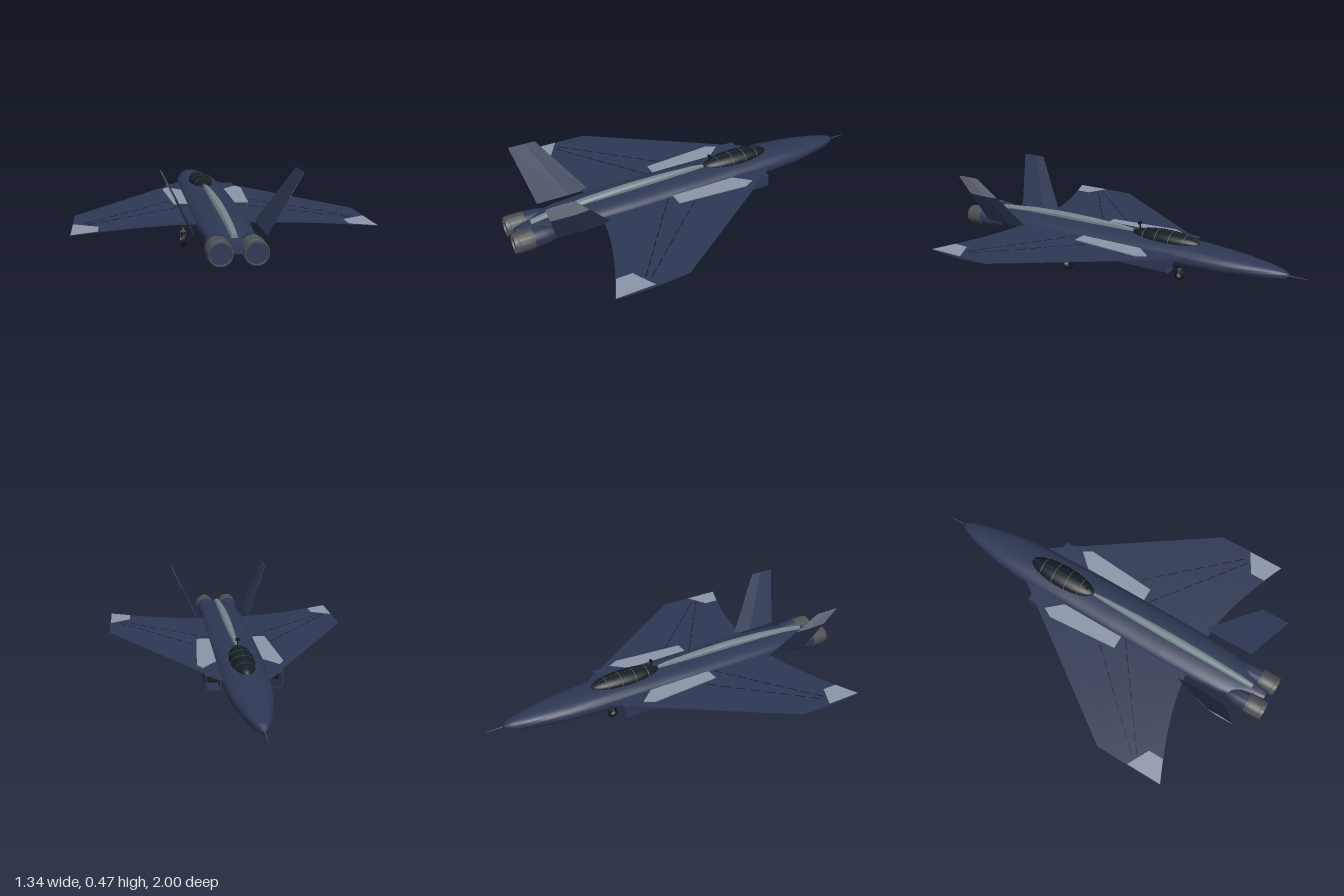
import * as THREE from 'three';
import { toCreasedNormals } from 'three/addons/utils/BufferGeometryUtils.js';

const mat = (color) => new THREE.MeshStandardMaterial({ color });
const NAVY = mat(0x2e3854), PANEL = mat(0x8c96a8), SPINE = mat(0x74858c), GLASS = mat(0x131d22);
const METAL = mat(0x4c5052), BLACK = mat(0x14171c), STEEL = mat(0x9a9fa5);

// Skin closed sections (equal point counts), cap both ends, face outwards
function loft(sections, crease = 0.6) {
  const n = sections[0].length, pos = sections.flat(2), idx = [];
  for (let i = 0; i < sections.length - 1; i++)
    for (let j = 0; j < n; j++) {
      const a = i * n + j, b = i * n + (j + 1) % n;
      idx.push(a, b, a + n, b, b + n, a + n);
    }
  const last = (sections.length - 1) * n;
  for (let j = 1; j < n - 1; j++) idx.push(0, j + 1, j, last, last + j, last + j + 1);
  const p = (i) => new THREE.Vector3(...pos.slice(i * 3, i * 3 + 3)).sub(p0);
  const p0 = new THREE.Vector3(pos[0], pos[1], pos[2]);
  let volume = 0;
  for (let i = 0; i < idx.length; i += 3) volume += p(idx[i]).dot(p(idx[i + 1]).cross(p(idx[i + 2])));
  if (volume < 0) idx.reverse();
  const g = new THREE.BufferGeometry();
  g.setAttribute('position', new THREE.Float32BufferAttribute(pos, 3));
  g.setIndex(idx);
  return toCreasedNormals(g, crease);
}

// Lathe turned to run along z; profile points are [radius, z]
function latheZ(profile, segments = 32) {
  const pts = profile.map(([r, z]) => new THREE.Vector2(r, z));
  return toCreasedNormals(new THREE.LatheGeometry(pts, segments).rotateX(Math.PI / 2), 0.6);
}

// Wing outline and thickness
const ROOT = 0.08, TIP = 0.67, TOP = 0.197;
const lead = (x) => 0.37 - (TIP - x) * 1.42;
const trail = (x) => 0.57 + 0.16 * Math.pow(Math.max(0, (x - 0.13) / 0.54), 1.5);

function wingGeometry(s) {
  const sections = [], chord = 14;
  for (let i = 0; i <= 12; i++) {
    const u = i / 12, x = ROOT + (TIP - ROOT) * u, t = 0.065 - 0.053 * u;
    const at = (v, y) => [s * x, y, lead(x) + (trail(x) - lead(x)) * v];
    const ring = [];
    for (let j = 0; j <= chord; j++) ring.push(at(j / chord, TOP));
    for (let j = chord; j >= 0; j--)
      ring.push(at(j / chord, TOP - t * (0.15 + 0.85 * Math.pow(Math.sin(Math.PI * j / chord), 0.8))));
    sections.push(ring);
  }
  return loft(sections);
}

// Thin plate on the wing, outlined by [x, z] corners
const plate = (s, pts, y0, y1) => loft([y0, y1].map((y) => pts.map(([x, z]) => [s * x, y, z])), 0.1);
// Narrow seam between two [x, z] points, split into dashes
function seam(s, a, b, dashes) {
  const out = [];
  for (let i = 0; i < dashes; i++) {
    const pt = (k) => [a[0] + (b[0] - a[0]) * k, a[1] + (b[1] - a[1]) * k];
    const p = pt(i / dashes), q = pt((i + 0.7) / dashes), w = 0.003;
    out.push(plate(s, [[p[0], p[1] - w], [q[0], q[1] - w], [q[0], q[1] + w], [p[0], p[1] + w]], TOP - 0.001, TOP + 0.001));
  }
  return out;
}

export function createModel() {
  const model = new THREE.Group();
  const add = (name, geometry, material, x = 0, y = 0, z = 0, parent = model) => {
    const m = new THREE.Mesh(geometry, material);
    m.name = name;
    m.position.set(x, y, z);
    parent.add(m);
    return m;
  };

  // Fuselage: z, half width, bottom, top
  const body = [[-0.915, 0.004, 0.167, 0.176], [-0.9, 0.018, 0.156, 0.188], [-0.87, 0.034, 0.148, 0.197],
    [-0.8, 0.057, 0.14, 0.208], [-0.7, 0.08, 0.133, 0.218], [-0.6, 0.099, 0.128, 0.226], [-0.45, 0.113, 0.124, 0.235],
    [-0.2, 0.12, 0.12, 0.237], [0.1, 0.125, 0.12, 0.237], [0.4, 0.126, 0.121, 0.236], [0.6, 0.121, 0.13, 0.234],
    [0.75, 0.11, 0.143, 0.226], [0.82, 0.098, 0.15, 0.217], [0.9, 0.05, 0.155, 0.205], [0.97, 0.025, 0.16, 0.195]];
  const power = (v, e) => Math.sign(v) * Math.pow(Math.abs(v), e);
  add('fuselage', loft(body.map(([z, w, b, t]) => Array.from({ length: 36 }, (_, i) => {
    const a = i / 36 * Math.PI * 2;
    return [w * power(Math.cos(a), 0.85), (b + t) / 2 + (t - b) / 2 * power(Math.sin(a), 0.85), z];
  })), 1), NAVY);
  add('noseProbe', new THREE.CylinderGeometry(0.003, 0.0012, 0.1, 10).rotateX(Math.PI / 2), METAL, 0, 0.172, -0.95);

  // Spine ridge: z, half width, top
  const ridge = [[-0.06, 0.008, 0.25], [0, 0.012, 0.258], [0.2, 0.019, 0.264], [0.4, 0.022, 0.264],
    [0.6, 0.021, 0.256], [0.8, 0.018, 0.238], [0.89, 0.015, 0.222]];
  add('spine', loft(ridge.map(([z, w, t]) => [[w, 0.18, z], [w, t - 0.014, z], [w * 0.6, t - 0.003, z], [0, t, z],
    [-w * 0.6, t - 0.003, z], [-w, t - 0.014, z], [-w, 0.18, z]])), SPINE);

  // Canopy with frame hoops, in ellipsoid units
  const canopy = new THREE.Group();
  canopy.name = 'canopy';
  canopy.position.set(0, 0.234, -0.255);
  canopy.scale.set(0.062, 0.042, 0.193);
  model.add(canopy);
  add('canopyGlass', new THREE.SphereGeometry(1, 40, 24), GLASS, 0, 0, 0, canopy);
  for (const z of [-0.6, -0.2, 0.2, 0.6])
    add('canopyHoop', new THREE.TorusGeometry(Math.sqrt(1 - z * z), 0.014, 6, 32, Math.PI), METAL, 0, 0, z, canopy);
  add('canopyRail', new THREE.TorusGeometry(1, 0.014, 6, 48, Math.PI).rotateY(Math.PI / 2), METAL, 0, 0, 0, canopy);
  add('antennaMast', new THREE.CylinderGeometry(0.003, 0.004, 0.05, 8), BLACK, 0, 0.265, -0.1);
  add('antennaHead', new THREE.BoxGeometry(0.022, 0.012, 0.012), BLACK, 0, 0.288, -0.1);

  // Wheel on a strut; attach is the height where the strut meets the airframe
  function gear(name, x, z, r, y, attach) {
    const g = new THREE.Group();
    g.name = name;
    g.position.set(x, y, z);
    model.add(g);
    const w = r * 0.28;
    add('tyre', new THREE.LatheGeometry([[r * 0.5, -w], [r * 0.85, -w], [r, -w * 0.45], [r, w * 0.45], [r * 0.85, w], [r * 0.5, w]]
      .map((p) => new THREE.Vector2(...p)), 28).rotateZ(Math.PI / 2), BLACK, 0, 0, 0, g);
    add('hub', new THREE.CylinderGeometry(r * 0.52, r * 0.52, w * 1.8, 20).rotateZ(Math.PI / 2), METAL, 0, 0, 0, g);
    add('axle', new THREE.CylinderGeometry(r * 0.2, r * 0.2, w * 2.8, 12).rotateZ(Math.PI / 2), STEEL, 0, 0, 0, g);
    const h = attach - y - r;
    for (const s of [-1, 1]) add('fork', new THREE.BoxGeometry(0.003, r * 1.2, 0.007), METAL, s * w * 1.2, r * 0.55, 0, g);
    add('forkTop', new THREE.BoxGeometry(w * 2.8, 0.007, 0.014), METAL, 0, r * 1.15, 0, g);
    add('strut', new THREE.CylinderGeometry(0.006, 0.006, h, 12), METAL, 0, r + h / 2, 0, g);
    add('collar', new THREE.BoxGeometry(0.032, 0.012, 0.022), BLACK, 0, r + h * 0.42, 0, g);
    const brace = add('brace', new THREE.CylinderGeometry(0.0025, 0.0025, 0.06, 8), METAL, 0, r + h * 0.6, -0.018, g);
    brace.rotation.x = -1.1;
  }
  gear('noseGear', 0, -0.335, 0.027, 0.046, 0.135);

  for (const s of [1, -1]) {
    const side = s > 0 ? 'left' : 'right';
    // Wing with coloured panels and seams
    add(side + 'Wing', wingGeometry(s), NAVY);
    add(side + 'WingTipPanel', plate(s, [[0.555, 0.6], [0.668, 0.54], [0.668, 0.727], [0.61, 0.702], [0.555, 0.68]],
      TOP - 0.001, TOP + 0.0015), PANEL);
    add(side + 'WingRootPanel', plate(s, [[0.12, -0.17], [0.15, -0.2], [0.192, -0.25], [0.22, -0.2], [0.19, 0.18], [0.12, 0.18]],
      TOP - 0.001, 0.2025), PANEL);
    for (const g of [...seam(s, [0.16, 0.05], [0.63, 0.55], 9), ...seam(s, [0.125, 0.21], [0.62, 0.57], 9)])
      add(side + 'WingSeam', g, BLACK);

    // Intake duct with an open mouth
    const box = (o, i) => [[0.115 + i, 0.12 + i], [0.175 - i, 0.12 + i], [0.192 - i, 0.135 + i],
      [0.192 - i, 0.201 - i], [0.115 + i, 0.201 - i]].map(([x, y]) => new o(x * s, y));
    const mouth = new THREE.Shape(box(THREE.Vector2, 0));
    mouth.holes.push(new THREE.Path(box(THREE.Vector2, 0.006)));
    add(side + 'Intake', new THREE.ExtrudeGeometry(mouth, { depth: 0.45, bevelEnabled: false }), NAVY, 0, 0, -0.355);
    add(side + 'IntakeDepth', new THREE.BoxGeometry(0.07, 0.07, 0.01), BLACK, s * 0.153, 0.162, -0.26);
    add(side + 'IntakeRear', new THREE.BoxGeometry(0.07, 0.066, 0.01), NAVY, s * 0.152, 0.165, 0.088);

    // Canted tail fin with a pale outer tip
    const fin = (k, off, thick) => {
      const x = 0.155 + 0.133 * k, y = 0.19 + 0.28 * k, zf = 0.535 + 0.21 * k, zb = 0.81 + 0.07 * k;
      const p = (d, z) => [s * (x + d * 0.9), y - d * 0.43, z];
      const zm = zf + (zb - zf) * 0.4;
      return [p(off, zf), p(off + thick, zm), p(off, zb), p(off - thick, zm)];
    };
    add(side + 'Fin', loft([fin(0, 0, 0.006), fin(1, 0, 0.003)], 0.1), NAVY);
    add(side + 'FinTip', loft([fin(0.607, 0.0012, 0.0042), fin(0.999, 0.0012, 0.003)], 0.1), PANEL);

    // Engine nacelle, nozzle and exhaust disc
    const ex = s * 0.073, ey = 0.169;
    add(side + 'Nacelle', latheZ([[0.0001, 0.79], [0.034, 0.79], [0.041, 0.81], [0.048, 0.85], [0.051, 0.91], [0.0001, 0.91]].reverse()
      .map(([r, z]) => [r, z]).reverse()), NAVY, ex, ey);
    add(side + 'Nozzle', latheZ([[0.045, 0.905], [0.0525, 0.905], [0.0525, 0.975], [0.05, 1], [0.046, 1], [0.044, 0.985], [0.044, 0.91]]),
      METAL, ex, ey);
    for (const z of [0.915, 0.978]) add(side + 'NozzleRing', new THREE.TorusGeometry(0.0515, 0.002, 8, 32), METAL, ex, ey, z);
    add(side + 'Exhaust', new THREE.CylinderGeometry(0.046, 0.046, 0.01, 32).rotateX(Math.PI / 2), NAVY, ex, ey, 0.987);

    gear(side + 'MainGear', s * 0.15, 0.265, 0.036, 0.038, 0.15);
  }
  return model;
}
